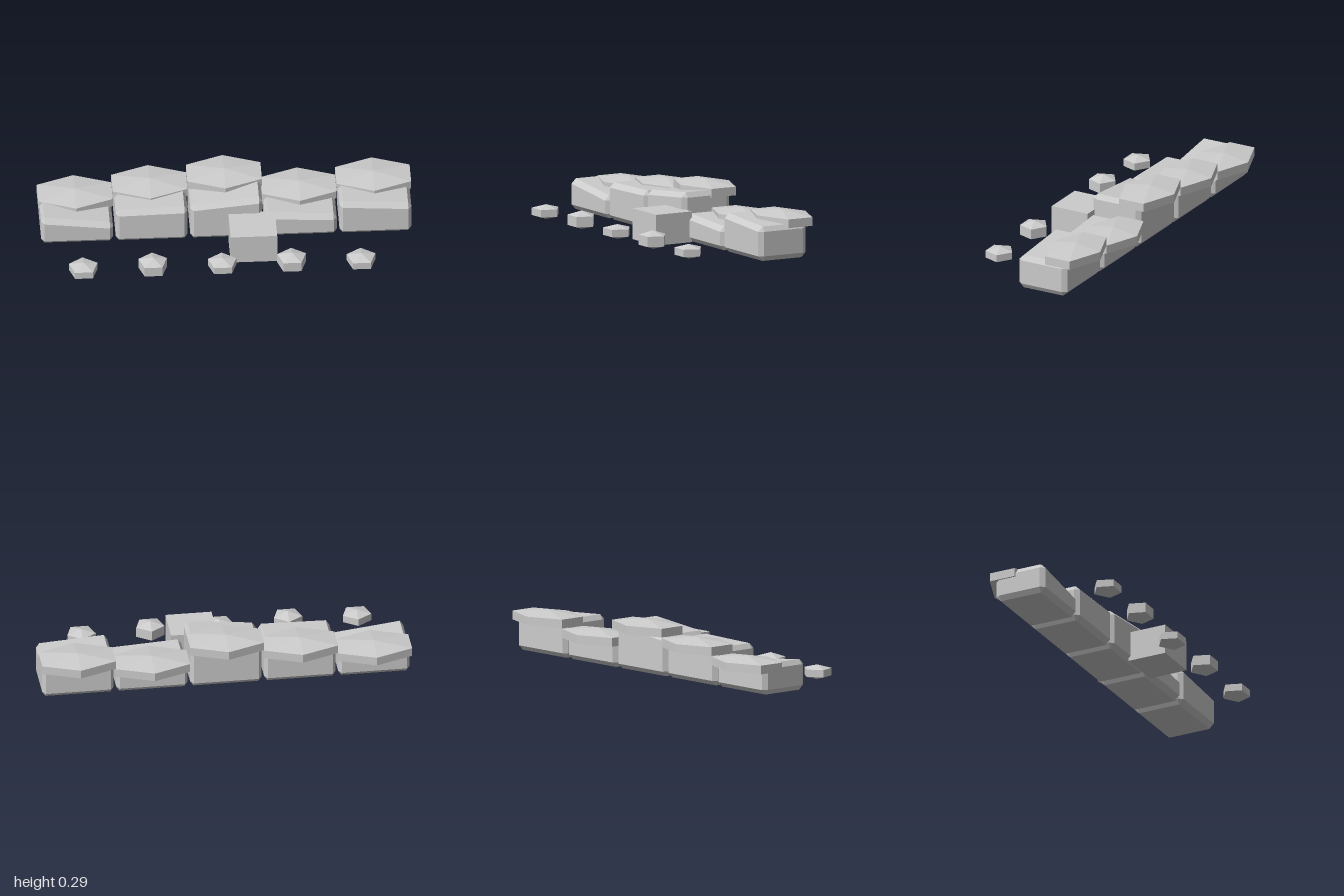
import * as THREE from 'three';
import { ConvexGeometry } from 'three/addons/geometries/ConvexGeometry.js';

const material = new THREE.MeshStandardMaterial({ color: 0xcccccc, flatShading: true });

function addMesh(parent, name, geometry, x, y, z) {
  const mesh = new THREE.Mesh(geometry, material);
  mesh.name = name;
  mesh.position.set(x, y, z);
  parent.add(mesh);
  return mesh;
}

// Bevelled block with a flat base and a top that slopes from left height to right height
function blockGeometry(halfWidth, halfDepth, topMinusX, topPlusX) {
  const bevelX = 0.018, bevel = 0.027;
  const points = [];
  for (const sx of [-1, 1]) for (const sz of [-1, 1]) for (const top of [0, 1]) {
    const height = sx < 0 ? topMinusX : topPlusX;
    const y = top ? height : 0;
    const yIn = top ? height - bevel : bevel;
    const x = sx * halfWidth, z = sz * halfDepth;
    const xIn = x - sx * bevelX, zIn = z - sz * bevel;
    points.push(
      new THREE.Vector3(x, yIn, zIn),
      new THREE.Vector3(xIn, y, zIn),
      new THREE.Vector3(xIn, yIn, z)
    );
  }
  return new ConvexGeometry(points);
}

// Faceted stone: straight rim between two shallow cones
function stoneGeometry(sides, start, rimLow, rimHigh, apex) {
  const profile = [[0, 0], [1, rimLow], [1, rimHigh], [0, apex]]
    .map(([r, y]) => new THREE.Vector2(r, y));
  return new THREE.LatheGeometry(profile, sides, start);
}

export function createModel() {
  const group = new THREE.Group();
  group.name = 'stoneWall';

  // Wall blocks and their hexagonal cap stones: [x, top at -x, top at +x, cap apex]
  const sections = [
    [-0.8, 0.167, 0.125, 0.19],
    [-0.4, 0.203, 0.21, 0.24],
    [0, 0.222, 0.257, 0.29],
    [0.4, 0.15, 0.13, 0.19],
    [0.8, 0.21, 0.187, 0.24],
  ];
  sections.forEach(([x, topMinusX, topPlusX, apex], i) => {
    addMesh(group, `wallBlock${i + 1}`,
      blockGeometry(0.193, 0.148, topMinusX, topPlusX), x, 0, -0.117);
    const cap = addMesh(group, `capStone${i + 1}`,
      stoneGeometry(6, 0, 0.024, 0.071, 0.095), x, apex - 0.095, -0.217);
    cap.scale.set(0.2 / Math.sin(Math.PI / 3), 1, 0.15);
  });

  // Square block standing in front of the wall
  addMesh(group, 'frontBlock', new THREE.BoxGeometry(0.25, 0.167, 0.222), 0.135, 0.0835, 0.129);

  // Row of five-sided pebbles, alternating in height
  for (let i = 0; i < 5; i++) {
    const tall = i % 2 === 1;
    const pebble = addMesh(group, `pebble${i + 1}`,
      stoneGeometry(5, Math.PI, 0.02, tall ? 0.076 : 0.06, tall ? 0.1 : 0.08),
      -0.783 + i * 0.3725, 0, 0.304);
    pebble.scale.set(0.081, 1, 0.076);
  }
  return group;
}
